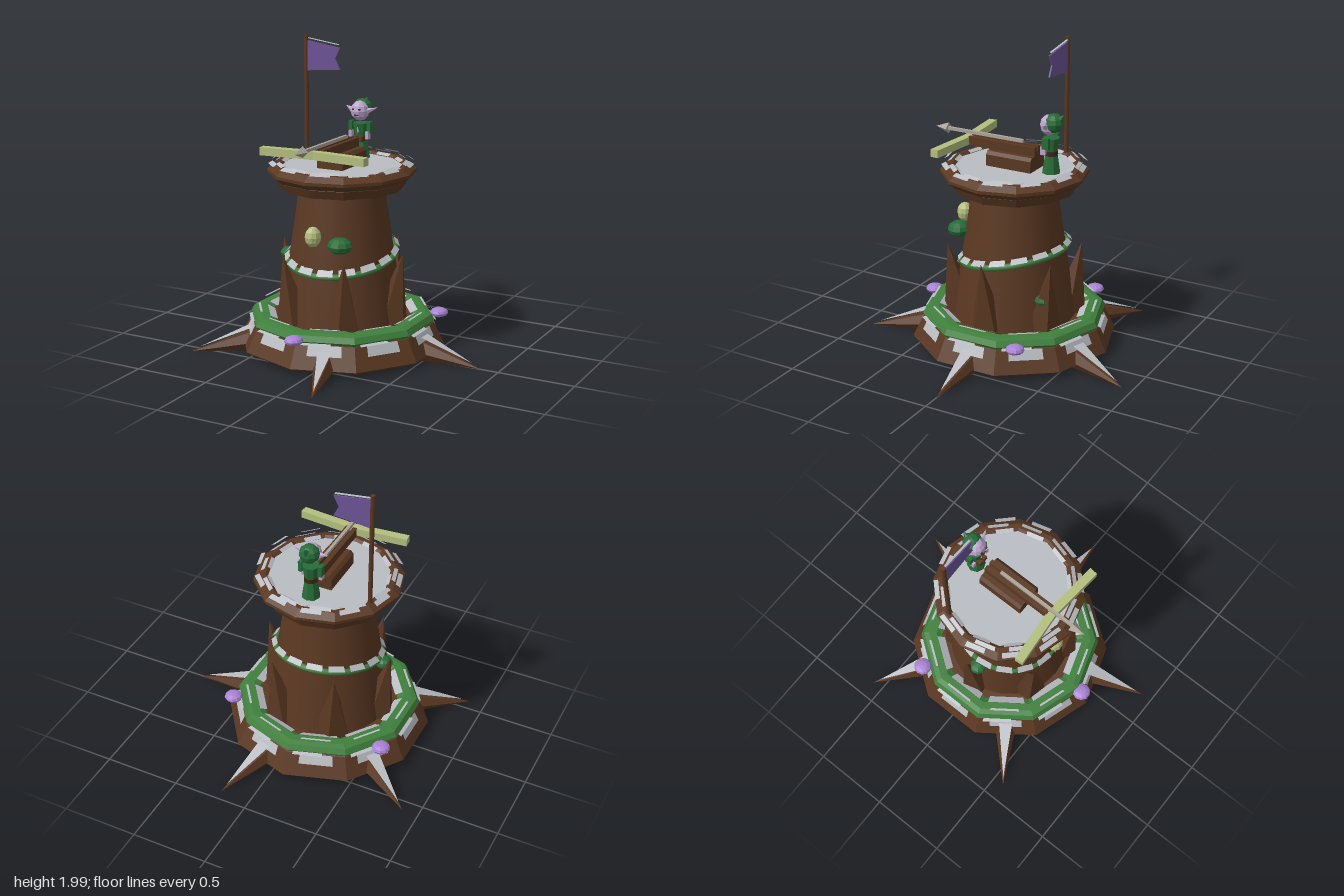
import * as THREE from 'three';

const mat = (name, color, side = THREE.FrontSide) => {
  const m = new THREE.MeshStandardMaterial({ color, side });
  m.name = name;
  return m;
};

export function createModel() {
  const bark = mat('bark brown', 0x5a3822);
  const snow = mat('frost grey', 0xb9bdc3, THREE.DoubleSide);
  const moss = mat('moss green', 0x3f7f3c);
  const leaf = mat('leaf green', 0x276c38);
  const cloth = mat('banner purple', 0x6d5296);
  const bloom = mat('mushroom lilac', 0xa982d4);
  const pale = mat('pale wood', 0xb4bf7e);
  const skin = mat('skin lilac', 0xbba4cc);
  const dark = mat('dark wood', 0x3f2717);
  const shaftGrey = mat('arrow grey', 0xaaa49a);

  const root = new THREE.Group();
  root.name = 'treeTower';
  const tower = new THREE.Group();
  tower.name = 'tower';
  tower.position.x = -0.1;
  root.add(tower);

  const add = (name, geo, material, pos = [0, 0, 0], parent = tower) => {
    const m = new THREE.Mesh(geo, material);
    m.name = name;
    m.position.set(...pos);
    parent.add(m);
    return m;
  };
  const flat = (geo) => {
    const g = geo.index ? geo.toNonIndexed() : geo;
    g.computeVertexNormals();
    return g;
  };
  const lathe = (pts, n) => new THREE.LatheGeometry(pts.map((p) => new THREE.Vector2(...p)), n);
  const box = (name, w, h, d, pos, m, parent) => add(name, new THREE.BoxGeometry(w, h, d), m, pos, parent);
  const blob = (name, rx, ry, rz, pos, m, parent) =>
    add(name, flat(new THREE.SphereGeometry(1, 10, 6).scale(rx, ry, rz)), m, pos, parent);
  // Cone from a base point to a tip
  const spike = (name, from, to, r, sides, m, parent) => {
    const a = new THREE.Vector3(...from), b = new THREE.Vector3(...to);
    const d = b.clone().sub(a), len = d.length();
    const s = add(name, flat(new THREE.ConeGeometry(r, len, sides)), m, [0, 0, 0], parent);
    s.quaternion.setFromUnitVectors(new THREE.Vector3(0, 1, 0), d.normalize());
    s.position.copy(a.add(b).multiplyScalar(0.5));
    return s;
  };
  // One thin dash on each side of an n-sided ring, between profile points p and q
  const dashes = (name, n, p, q, t0, t1, slope = 0) => {
    const v = [], idx = [];
    const point = ([r, y], i, t) => {
      const a = (i * 2 * Math.PI) / n, b = ((i + 1) * 2 * Math.PI) / n;
      const x = r * THREE.MathUtils.lerp(Math.sin(a), Math.sin(b), t);
      const z = r * THREE.MathUtils.lerp(Math.cos(a), Math.cos(b), t);
      v.push(x, y - slope * z, z);
    };
    for (let i = 0; i < n; i++) {
      point(p, i, t0); point(p, i, t1); point(q, i, t1); point(q, i, t0);
      const k = i * 4;
      idx.push(k, k + 1, k + 2, k, k + 2, k + 3);
    }
    const g = new THREE.BufferGeometry();
    g.setAttribute('position', new THREE.Float32BufferAttribute(v, 3));
    g.setIndex(idx);
    g.computeVertexNormals();
    add(name, g, snow);
  };

  // Ten-sided base with a moss ring
  add('base', flat(lathe([[0, 0.04], [0.64, 0.04], [0.67, 0.06], [0.6, 0.2], [0.56, 0.22], [0, 0.22]], 10)), bark);
  add('mossRing', flat(lathe([[0.46, 0.2], [0.59, 0.2], [0.605, 0.22], [0.585, 0.255], [0.55, 0.265], [0.5, 0.265], [0.46, 0.24]], 10)), moss);
  dashes('baseFrost', 10, [0.637, 0.14], [0.606, 0.203], 0.22, 0.78);
  dashes('ringEdgeFrost', 10, [0.625, 0.205], [0.6, 0.212], 0.1, 0.6);
  dashes('ringTopFrost', 10, [0.565, 0.29], [0.55, 0.29], 0.2, 0.75);
  dashes('ringInnerFrost', 10, [0.5, 0.27], [0.45, 0.245], 0.1, 0.9);

  // Trunk
  add('trunk', lathe([[0.405, 0.2], [0.39, 0.3], [0.36, 0.5], [0.328, 0.7], [0.298, 0.9], [0.272, 1.1]], 24), bark);

  // Five pointed ground roots with frosted tops
  for (let i = 0; i < 5; i++) {
    const g = new THREE.Group();
    g.name = 'groundRoot';
    g.rotation.y = (i * 2 * Math.PI) / 5;
    tower.add(g);
    spike('rootSpike', [0.5, 0.088, 0], [0.98, 0.012, 0], 0.088, 6, bark, g);
    const f = new THREE.BufferGeometry();
    f.setAttribute('position', new THREE.Float32BufferAttribute(
      [0.55, 0.185, 0.05, 0.93, 0.04, 0, 0.55, 0.185, -0.05], 3));
    f.computeVertexNormals();
    add('rootFrost', f, snow, [0, 0, 0], g);
  }

  // Six upright bark shards around the trunk
  for (let i = 0; i < 6; i++) {
    const g = new THREE.Group();
    g.name = 'barkShard';
    g.rotation.y = (i * Math.PI) / 3;
    tower.add(g);
    spike('shard', [0.35, 0.22, 0], [0.435, 0.69, 0], 0.12, 5, bark, g);
  }

  // Tilted vine around the trunk
  const ring = [];
  for (let i = 0; i < 16; i++) {
    const a = (i * Math.PI) / 8, z = Math.cos(a) * 0.345;
    ring.push(new THREE.Vector3(Math.sin(a) * 0.345, 0.635 - 0.2 * z, z));
  }
  add('vine', new THREE.TubeGeometry(new THREE.CatmullRomCurve3(ring, true), 48, 0.021, 6, true), moss);
  dashes('vineFrost', 16, [0.375, 0.65], [0.345, 0.68], 0.12, 0.85, 0.2);

  // Leaf clumps, hanging pod and mushrooms
  [[0.16, 0.78, 0.32], [-0.37, 0.6, 0.04], [0.2, 0.43, -0.32]].forEach((p, i) => {
    const s = i === 0 ? 1 : 0.75;
    blob('leafClump', 0.083 * s, 0.052 * s, 0.075 * s, p, leaf);
  });
  blob('pod', 0.052, 0.066, 0.052, [0, 0.83, 0.375], pale);
  [[-0.53, -0.33], [0.55, -0.31], [0, 0.62]].forEach(([x, z]) =>
    blob('mushroom', 0.06, 0.031, 0.06, [x, 0.23, z], bloom));

  // Platform and parapet
  add('platformLip', flat(lathe([[0, 1.08], [0.4, 1.08], [0.425, 1.135], [0.42, 1.145], [0, 1.145]], 12)), bark);
  add('parapet', flat(lathe([[0.3, 1.14], [0.435, 1.14], [0.475, 1.175], [0.475, 1.195], [0.43, 1.23], [0.4, 1.23], [0.355, 1.19]], 12)), bark);
  add('deck', flat(new THREE.CylinderGeometry(0.385, 0.385, 0.06, 12)), snow, [0, 1.185, 0]);
  dashes('parapetOuterFrost', 12, [0.475, 1.236], [0.445, 1.252], 0.12, 0.65);
  dashes('parapetTopFrost', 12, [0.435, 1.238], [0.41, 1.25], 0.3, 0.9);
  dashes('parapetInnerFrost', 12, [0.4, 1.236], [0.375, 1.222], 0.15, 0.7);

  // Flag
  add('flagPole', new THREE.CylinderGeometry(0.015, 0.015, 0.795, 8), bark, [-0.36, 1.6, -0.18]);
  const s = new THREE.Shape([[-0.35, 1.965], [-0.35, 1.77], [-0.11, 1.79], [-0.145, 1.86], [-0.11, 1.93]]
    .map((p) => new THREE.Vector2(...p)));
  add('flagCloth', new THREE.ExtrudeGeometry(s, { depth: 0.01, bevelEnabled: false }), cloth, [0, 0, -0.185]);
  box('flagFrost', 0.23, 0.004, 0.014, [-0.235, 1.965, -0.185], snow).rotation.z = -0.14;

  // Mounted crossbow
  const bow = new THREE.Group();
  bow.name = 'crossbow';
  tower.add(bow);
  const mount = new THREE.Shape([[-0.09, 1.2], [0.09, 1.2], [0.09, 1.29], [0.07, 1.31], [-0.07, 1.31], [-0.09, 1.29]]
    .map((p) => new THREE.Vector2(...p)));
  add('mount', new THREE.ExtrudeGeometry(mount, { depth: 0.32, bevelEnabled: false }), bark, [0, 0, -0.16], bow);
  box('stock', 0.075, 0.03, 0.48, [0, 1.325, 0.08], bark, bow);
  for (const side of [-1, 1]) {
    box('rail', 0.028, 0.03, 0.48, [side * 0.024, 1.353, 0.08], bark, bow);
    box('bowArm', 0.37, 0.05, 0.055, [side * 0.183, 1.34, 0.355], pale, bow).rotation.y = -side * 0.09;
  }
  box('arrowShaft', 0.02, 0.02, 0.57, [0, 1.388, 0.225], shaftGrey, bow);
  spike('arrowHead', [0, 1.388, 0.49], [0, 1.388, 0.585], 0.037, 4, shaftGrey, bow);

  // Guard standing at the back of the deck
  const guard = new THREE.Group();
  guard.name = 'guard';
  guard.position.set(0, 0, -0.26);
  tower.add(guard);
  add('tunicSkirt', flat(new THREE.CylinderGeometry(0.04, 0.06, 0.13, 8)), leaf, [0, 1.275, 0], guard);
  add('belt', new THREE.CylinderGeometry(0.043, 0.043, 0.03, 8), dark, [0, 1.345, 0], guard);
  add('torso', flat(new THREE.CylinderGeometry(0.055, 0.04, 0.09, 8)), leaf, [0, 1.4, 0], guard);
  spike('collar', [0, 1.435, 0.03], [0, 1.38, 0.05], 0.025, 4, skin, guard);
  for (const side of [-1, 1]) {
    box('sleeve', 0.025, 0.07, 0.045, [side * 0.067, 1.42, 0.005], leaf, guard);
    box('forearm', 0.022, 0.05, 0.035, [side * 0.06, 1.37, 0.025], skin, guard);
    box('glove', 0.03, 0.035, 0.035, [side * 0.02, 1.345, 0.045], bark, guard);
    spike('ear', [side * 0.05, 1.525, 0.015], [side * 0.115, 1.55, -0.005], 0.022, 5, skin, guard);
    box('eye', 0.014, 0.01, 0.008, [side * 0.022, 1.54, 0.07], dark, guard);
  }
  blob('head', 0.063, 0.066, 0.06, [0, 1.525, 0.015], skin, guard);
  box('mouth', 0.03, 0.007, 0.008, [0, 1.502, 0.07], dark, guard);
  blob('cap', 0.066, 0.062, 0.062, [0, 1.54, -0.018], leaf, guard);
  spike('capTip', [0, 1.55, -0.04], [0, 1.6, -0.085], 0.04, 6, leaf, guard);

  return root;
}
